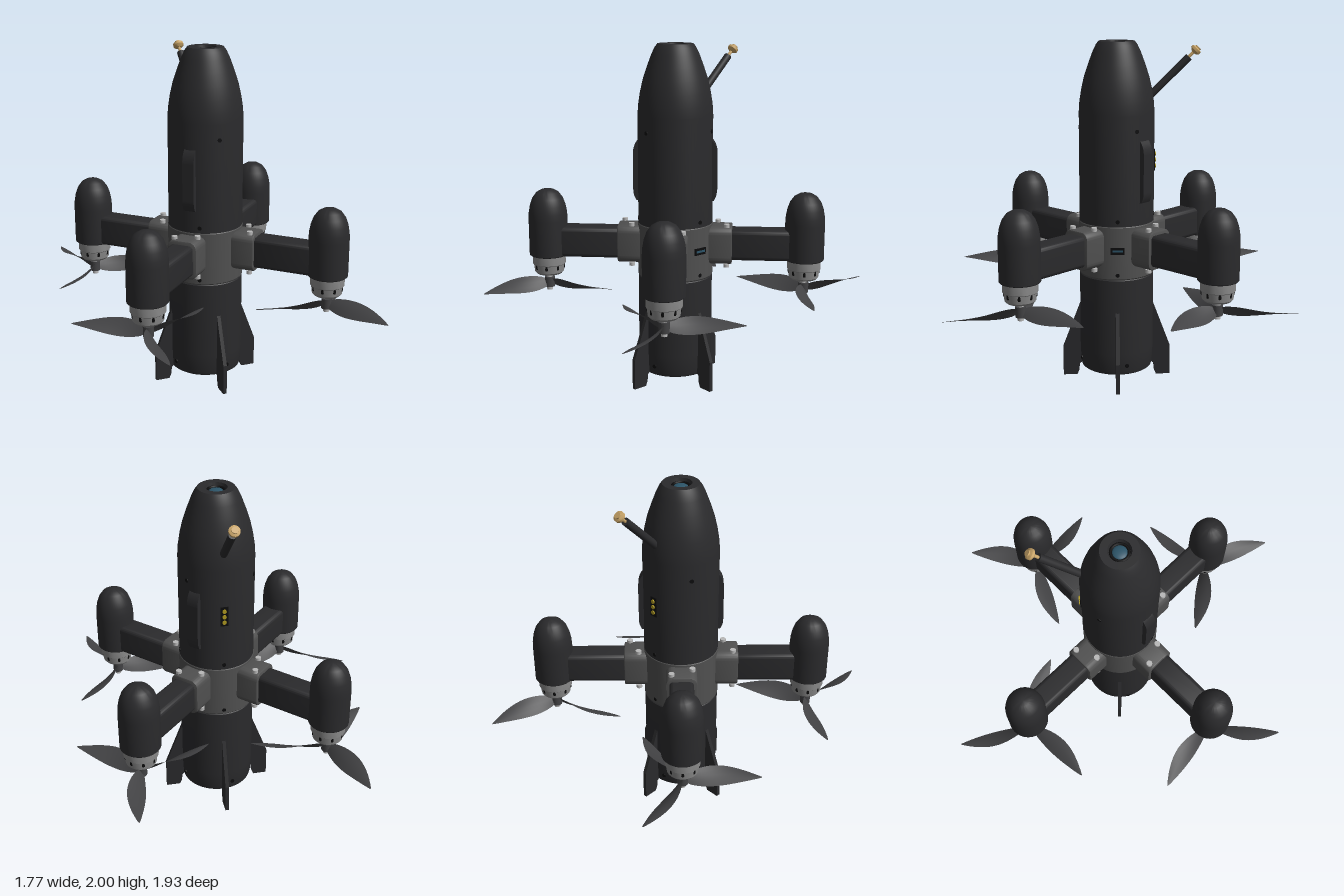
import * as THREE from 'three';
import { toCreasedNormals } from 'three/addons/utils/BufferGeometryUtils.js';

const paint = (color) => new THREE.MeshStandardMaterial({ color, side: THREE.DoubleSide });
const black = paint(0x2a2a2c), dark = paint(0x0c0c0d), collarGrey = paint(0x505050);
const motorGrey = paint(0x8a8a8a), steel = paint(0xb8b8b8), bladeGrey = paint(0x424244);
const gold = paint(0xc8a468), yellow = paint(0xb09a20), glass = paint(0x2c5468);

function add(parent, name, geometry, material, x = 0, y = 0, z = 0) {
  const mesh = new THREE.Mesh(geometry, material);
  mesh.name = name;
  mesh.position.set(x, y, z);
  parent.add(mesh);
  return mesh;
}

function group(parent, name) {
  const g = new THREE.Group();
  g.name = name;
  parent.add(g);
  return g;
}

const lathe = (points, sides = 48) => toCreasedNormals(
  new THREE.LatheGeometry(points.map(([r, y]) => new THREE.Vector2(r, y)), sides), 0.6);
const rod = (r, h, sides = 20) => new THREE.CylinderGeometry(r, r, h, sides);

// Rounded rectangle section running along +x from x0 to x1
function roundedBar(x0, x1, height, width, r) {
  const w = width / 2, h = height / 2, s = new THREE.Shape();
  s.moveTo(-w + r, -h);
  s.absarc(w - r, -h + r, r, -Math.PI / 2, 0);
  s.absarc(w - r, h - r, r, 0, Math.PI / 2);
  s.absarc(-w + r, h - r, r, Math.PI / 2, Math.PI);
  s.absarc(-w + r, -h + r, r, Math.PI, Math.PI * 1.5);
  const b = 0.008;
  const g = new THREE.ExtrudeGeometry(s, {
    depth: x1 - x0 - 2 * b, bevelThickness: b, bevelSize: b, bevelOffset: -b, bevelSegments: 2, curveSegments: 6,
  });
  g.translate(0, 0, x0 + b);
  g.rotateY(Math.PI / 2);
  return toCreasedNormals(g, 0.6);
}

// Twisted, swept blade along +x; hand is +1 or -1
function bladeGeometry(hand) {
  const g = new THREE.PlaneGeometry(1, 1, 20, 4);
  const p = g.attributes.position;
  for (let i = 0; i < p.count; i++) {
    const t = p.getX(i) + 0.5, v = p.getY(i);
    const chord = 0.006 + 0.04 * (1 - t) + 0.088 * Math.pow(Math.sin(Math.PI * Math.pow(t, 0.85)), 0.9);
    const pitch = THREE.MathUtils.degToRad(58 - 68 * t + 24 * t * t);
    const camber = chord * 0.06 * (1 - 4 * v * v);
    const sweep = 0.022 * Math.sin(Math.PI * t);
    p.setXYZ(i, 0.022 + 0.413 * t, v * chord * Math.sin(pitch) + camber,
      -hand * (sweep + v * chord * Math.cos(pitch)));
  }
  g.computeVertexNormals();
  return g;
}

function buildBody(model) {
  add(model, 'upperBody', lathe([[0, 0.96], [0.217, 0.96], [0.217, 1.6], [0.213, 1.66], [0.202, 1.73], [0.186, 1.8],
    [0.163, 1.87], [0.137, 1.94], [0.118, 1.98], [0.103, 2], [0.062, 2], [0.056, 1.975], [0, 1.975]], 64), black);
  add(model, 'collar', lathe([[0, 0.655], [0.214, 0.655], [0.22, 0.662], [0.22, 0.965], [0.215, 0.972], [0, 0.972]], 64), collarGrey);
  add(model, 'lowerBody', lathe([[0, 0.07], [0.195, 0.07], [0.207, 0.078], [0.212, 0.095], [0.217, 0.2], [0.217, 0.65], [0.21, 0.658], [0, 0.658]], 64), black);
  add(model, 'lens', new THREE.SphereGeometry(0.04, 24, 8, 0, Math.PI * 2, 0, Math.PI / 2), glass, 0, 1.975).scale.y = 0.35;
  add(model, 'lensRing', new THREE.TorusGeometry(0.047, 0.008, 8, 32), dark, 0, 1.98).rotation.x = Math.PI / 2;
  add(model, 'tailPort', rod(0.045, 0.01), dark, 0, 0.068);

  // Fins at the four sides
  const fin = new THREE.Shape([[0.2, 0.47], [0.215, 0.46], [0.321, 0.18], [0.321, 0], [0.238, 0], [0.226, 0.03], [0.222, 0.07], [0.2, 0.09]]
    .map(([x, y]) => new THREE.Vector2(x, y)));
  const finGeometry = new THREE.ExtrudeGeometry(fin, { depth: 0.022, bevelEnabled: false });
  finGeometry.translate(0, 0, -0.011);
  for (let i = 0; i < 4; i++) add(model, 'fin', finGeometry, black).rotation.y = i * Math.PI / 2;

  // Raised covers on two opposite flanks
  for (const a of [45, 225]) {
    const holder = group(model, 'sideCover');
    holder.rotation.y = THREE.MathUtils.degToRad(a);
    for (const k of [0]) {
      const cover = new THREE.Shape();
      cover.moveTo(0.19, 1.1);
      cover.lineTo(0.225, 1.1);
      cover.quadraticCurveTo(0.243, 1.13, 0.243, 1.16);
      cover.lineTo(0.243, 1.38);
      cover.quadraticCurveTo(0.24, 1.43, 0.21, 1.46);
      cover.lineTo(0.19, 1.46);
      const g = new THREE.ExtrudeGeometry(cover, { depth: 0.07, bevelEnabled: false });
      add(holder, 'cover', g, black, 0, 0, -0.035 + k);
    }
  }

  // Charging contacts on the back, port on the left side
  add(model, 'contactPanel', new THREE.BoxGeometry(0.045, 0.12, 0.02), dark, 0, 1.32, -0.211);
  for (const dy of [-0.035, 0, 0.035])
    add(model, 'contact', rod(0.012, 0.01, 12), yellow, 0, 1.32 + dy, -0.223).rotation.x = Math.PI / 2;
  add(model, 'portFrame', new THREE.BoxGeometry(0.02, 0.04, 0.08), dark, 0.213, 0.83, 0);
  add(model, 'portTongue', new THREE.BoxGeometry(0.006, 0.012, 0.06), glass, 0.223, 0.83, 0);

  // Small screws round the body: angle from +z towards +x, height
  for (const [a, y] of [[0, 1.51], [120, 1.51], [240, 1.51], [15, 0.13], [105, 0.13], [195, 0.13], [285, 0.13],
    [-30, 1], [90, 1], [180, 1], [-30, 0.685], [90, 0.685], [180, 0.685]]) {
    const holder = group(model, 'bodyScrew');
    holder.rotation.y = THREE.MathUtils.degToRad(a);
    add(holder, 'screw', rod(0.012, 0.012, 12), dark, 0, y, 0.214).rotation.x = Math.PI / 2;
  }
}

function buildAntenna(model) {
  const antenna = group(model, 'antenna');
  antenna.position.set(0, 1.68, -0.18);
  antenna.rotation.x = -Math.PI / 4;
  add(antenna, 'mast', rod(0.022, 0.34), black, 0, 0.155);
  add(antenna, 'pin', rod(0.009, 0.08, 12), gold, 0, 0.35);
  add(antenna, 'tip', lathe([[0, 0.358], [0.016, 0.36], [0.031, 0.373], [0.031, 0.388], [0.018, 0.394], [0.018, 0.402], [0, 0.402]], 16), gold);
}

// One arm with its motor pod and propeller, pointing along +x
function buildArm(model, armAngle, propAngle, hand) {
  const arm = group(model, 'arm');
  arm.rotation.y = THREE.MathUtils.degToRad(armAngle);
  const R = 0.757;
  add(arm, 'clamp', roundedBar(0.14, 0.335, 0.225, 0.18, 0.045), collarGrey, 0, 0.842);
  add(arm, 'boom', roundedBar(0.3, R, 0.18, 0.14, 0.025), black, 0, 0.842);
  for (const [x, z] of [[0.303, 0.057], [0.25, -0.062]])
    for (const y of [0.96, 0.722]) {
      add(arm, 'bolt', rod(0.017, 0.02, 16), steel, x, y, z);
    }

  const pod = group(arm, 'motorPod');
  pod.position.x = R;
  add(pod, 'podShell', lathe([[0, 0.752], [0.11, 0.752], [0.115, 0.757], [0.115, 0.97], [0.113, 1.01], [0.105, 1.055],
    [0.09, 1.097], [0.066, 1.13], [0.036, 1.147], [0, 1.151]]), black);
  add(pod, 'motor', lathe([[0, 0.638], [0.075, 0.638], [0.086, 0.65], [0.092, 0.695], [0.098, 0.7], [0.098, 0.752], [0, 0.752]]), motorGrey);
  for (let i = 0; i < 8; i++) {
    const holder = group(pod, 'motorSlot');
    holder.rotation.y = i * Math.PI / 4;
    add(holder, 'slot', new THREE.CapsuleGeometry(0.012, 0.028, 4, 10), dark, 0.081, 0.69);
  }

  const propeller = group(pod, 'propeller');
  propeller.position.y = 0.583;
  propeller.rotation.y = THREE.MathUtils.degToRad(propAngle - armAngle);
  add(propeller, 'hub', rod(0.03, 0.06), bladeGrey);
  add(propeller, 'shaft', rod(0.018, 0.11), steel, 0, 0.005);
  const geometry = bladeGeometry(hand);
  for (let i = 0; i < 3; i++) add(propeller, 'blade', geometry, bladeGrey).rotation.y = i * Math.PI * 2 / 3;
}

export function createModel() {
  const root = new THREE.Group();
  root.name = 'rocketDrone';
  const model = group(root, 'drone');
  model.position.set(0.01, 0, -0.003);
  buildBody(model);
  buildAntenna(model);
  // Neighbouring propellers turn opposite ways
  [[45, 80, -1], [135, 106, 1], [225, 26, -1], [315, 52, 1]].forEach((a) => buildArm(model, ...a));
  return root;
}
